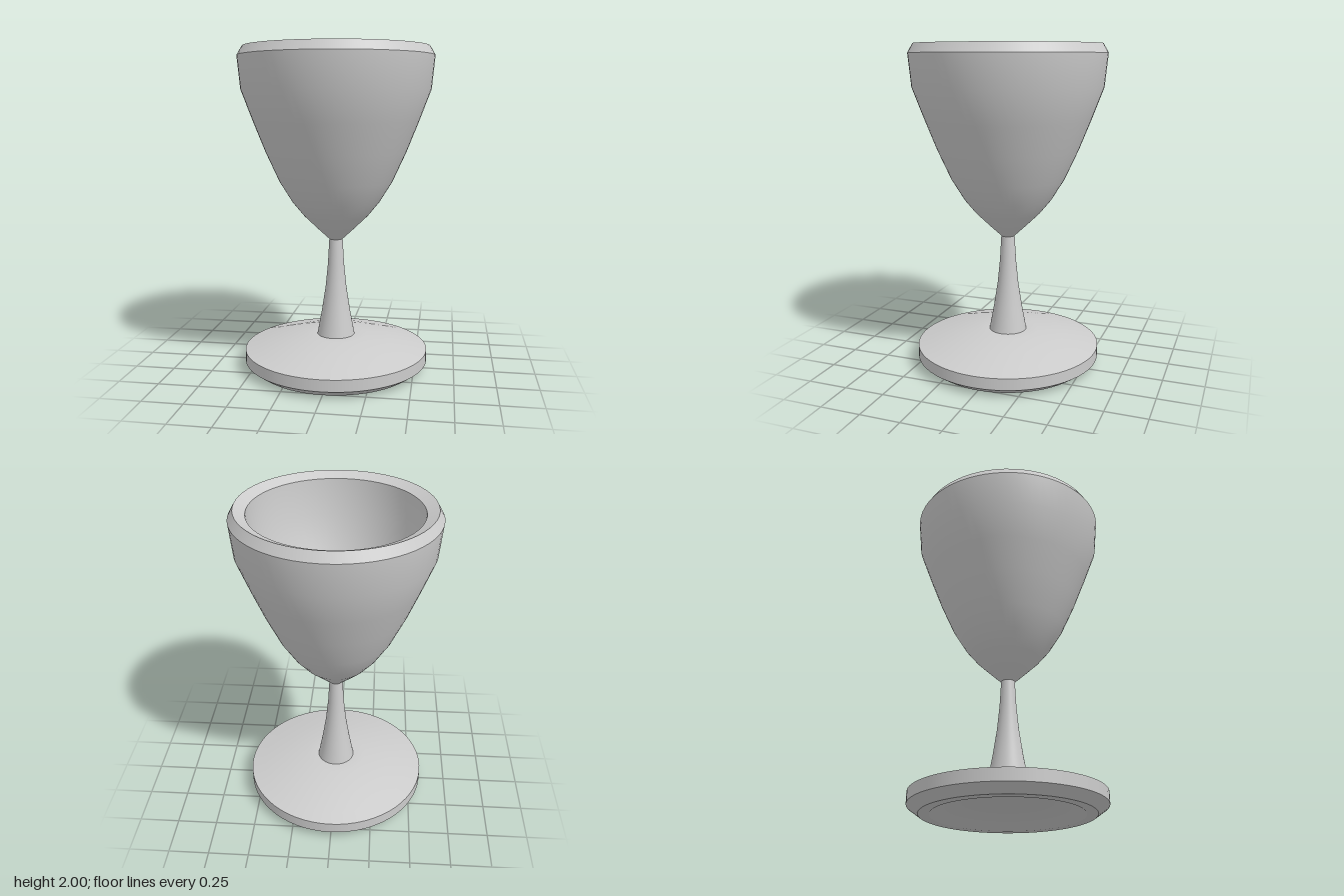
import * as THREE from 'three';

const SEGMENTS = 64;

export function createModel() {
  const group = new THREE.Group();
  const grey = new THREE.MeshStandardMaterial({ color: 0xcccccc });
  grey.name = 'plain grey';

  // Each profile is turned about y; separate profiles meet in sharp edges.
  const turn = (name, profile) => {
    const points = profile.map(([r, y]) => new THREE.Vector2(r, y));
    const mesh = new THREE.Mesh(new THREE.LatheGeometry(points, SEGMENTS), grey);
    mesh.name = name;
    group.add(mesh);
  };

  // Foot, from the hollow underside up to the stem
  turn('footHollow', [[0, 0.1], [0.15, 0.092], [0.28, 0.067], [0.37, 0.038], [0.446, 0]]);
  turn('footRing', [[0.446, 0], [0.51, 0]]);
  turn('footLowerBevel', [[0.51, 0], [0.577, 0.048]]);
  turn('footEdge', [[0.577, 0.048], [0.577, 0.12]]);
  turn('footTop', [[0.577, 0.12], [0.49, 0.142], [0.36, 0.175], [0.196, 0.204], [0.118, 0.204]]);

  // Stem
  turn('stem', [[0.118, 0.204], [0.09, 0.355], [0.066, 0.51], [0.051, 0.66], [0.042, 0.82]]);

  // Bowl, outside, rim and inside
  turn('bowlOutside', [[0.042, 0.82], [0.113, 0.886], [0.2, 0.97], [0.27, 1.055], [0.35, 1.185],
    [0.434, 1.37], [0.505, 1.55], [0.578, 1.745], [0.597, 1.945]]);
  turn('rimBevel', [[0.597, 1.945], [0.565, 2]]);
  turn('rimTop', [[0.565, 2], [0.498, 1.97]]);
  turn('bowlInside', [[0.498, 1.97], [0.483, 1.76], [0.42, 1.55], [0.35, 1.37], [0.27, 1.2],
    [0.2, 1.085], [0.12, 0.985], [0.05, 0.93], [0, 0.92]]);

  return group;
}
